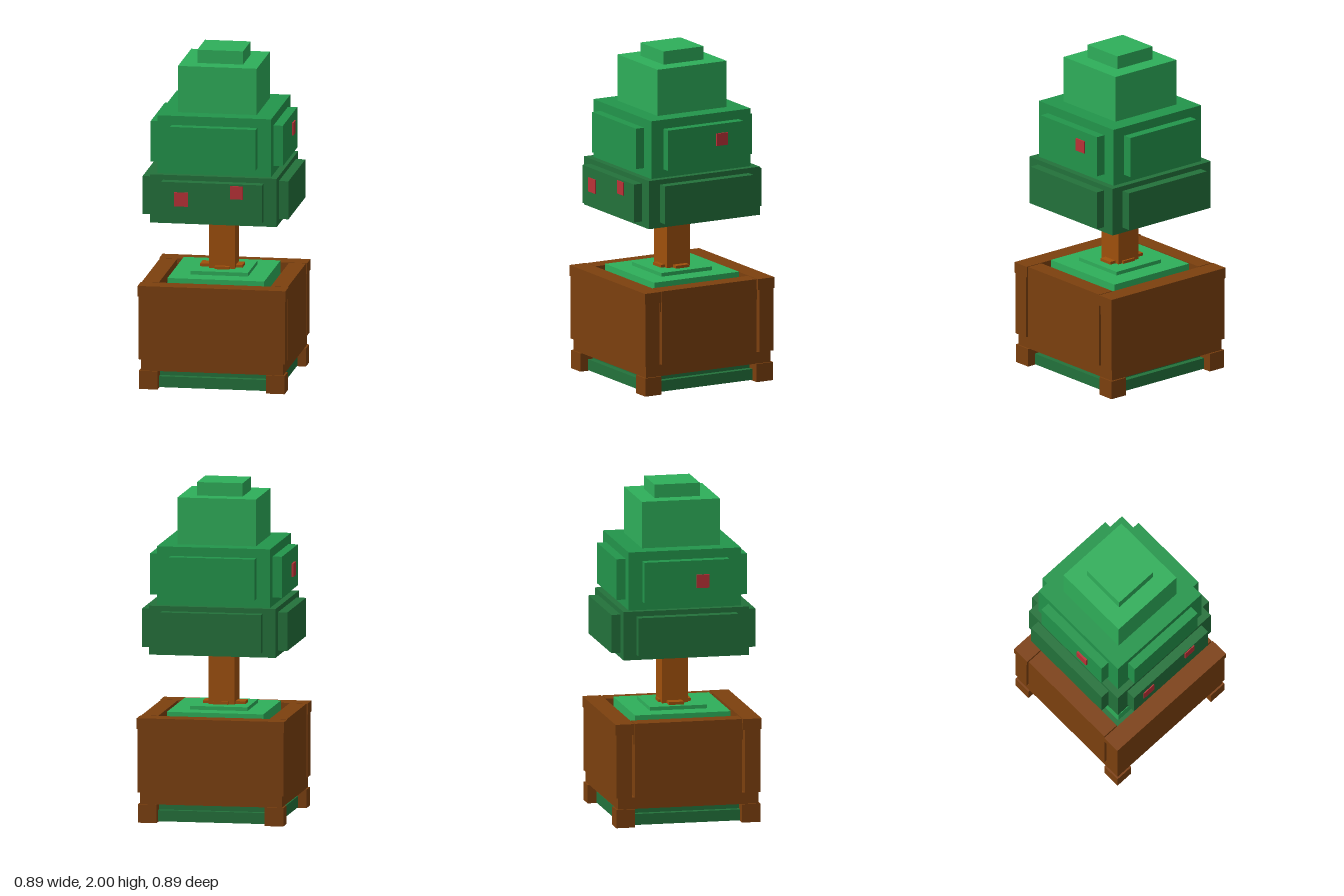
import * as THREE from 'three';

const mat = (name, color) => {
  const m = new THREE.MeshStandardMaterial({ color });
  m.name = name;
  return m;
};

export function createModel() {
  const lightGreen = mat('light green', 0x2eaf5a);
  const midGreen = mat('mid green', 0x22954b);
  const darkGreen = mat('dark green', 0x23723b);
  const brown = mat('pot brown', 0x7c400e);
  const bark = mat('bark brown', 0x9f500c);
  const red = mat('berry red', 0xbb3237);

  const model = new THREE.Group();
  model.name = 'pottedTree';

  // Box given by its lower and upper limits on each axis
  const box = (name, material, [x0, x1], [y0, y1], [z0, z1]) => {
    const mesh = new THREE.Mesh(new THREE.BoxGeometry(x1 - x0, y1 - y0, z1 - z0), material);
    mesh.position.set((x0 + x1) / 2, (y0 + y1) / 2, (z0 + z1) / 2);
    mesh.name = name;
    model.add(mesh);
  };
  const span = (h) => [-h, h];
  const side = (s, a, b) => (s > 0 ? [a, b] : [-b, -a]);
  const slab = (name, material, half, y) => box(name, material, span(half), y, span(half));

  // Base tray with a red plate underneath
  slab('tray', darkGreen, 0.385, [0.004, 0.07]);
  slab('trayCore', darkGreen, 0.35, [0.07, 0.115]);
  slab('basePlate', red, 0.19, [0, 0.006]);

  // Pot: feet, plinth, walls and rim bars
  for (const sx of [-1, 1])
    for (const sz of [-1, 1])
      box('foot', brown, side(sx, 0.325, 0.437), [0, 0.11], side(sz, 0.325, 0.437));
  slab('plinth', brown, 0.426, [0.11, 0.18]);
  for (const s of [-1, 1]) {
    box('endWall', brown, span(0.438), [0.18, 0.56], side(s, 0.342, 0.438));
    box('rimBar', brown, span(0.443), [0.56, 0.625], side(s, 0.33, 0.443));
    box('sideWall', brown, side(s, 0.335, 0.437), [0.18, 0.625], span(0.324));
    // Thin filler under each groove beside the side walls
    for (const z of [-1, 1])
      box('groove', brown, side(s, 0.335, 0.428), [0.5, 0.6], side(z, 0.322, 0.332));
  }

  // Filling and stepped grass mound
  slab('filling', darkGreen, 0.336, [0.18, 0.56]);
  slab('grass', lightGreen, 0.29, [0.56, 0.645]);
  slab('grassMound', lightGreen, 0.173, [0.645, 0.667]);

  // Trunk and roots
  slab('trunk', bark, 0.078, [0.66, 1.01]);
  box('rootAcross', bark, [-0.137, 0.118], [0.66, 0.684], [-0.05, 0.04]);
  box('rootAlong', bark, [-0.04, 0.05], [0.66, 0.684], [-0.09, 0.105]);

  // Foliage tiers with raised panels on all four sides
  const tier = (name, material, half, y, reach, panelHalf, panelY) => {
    slab(name, material, half, y);
    for (const s of [-1, 1]) {
      box(name + 'Panel', material, span(panelHalf), panelY, side(s, half, reach));
      box(name + 'Panel', material, side(s, half, reach), panelY, span(panelHalf));
    }
  };
  tier('lowerFoliage', darkGreen, 0.38, [0.998, 1.29], 0.437, 0.302, [1.03, 1.26]);
  tier('middleFoliage', midGreen, 0.34, [1.29, 1.64], 0.396, 0.257, [1.34, 1.585]);
  slab('upperFoliage', lightGreen, 0.236, [1.64, 1.92]);
  slab('treeTop', lightGreen, 0.137, [1.92, 2]);

  // Berries
  box('berry', red, [-0.225, -0.142], [1.115, 1.2], [0.435, 0.443]);
  box('berry', red, [0.112, 0.187], [1.17, 1.25], [0.435, 0.443]);
  box('berry', red, [0.396, 0.405], [1.455, 1.53], [-0.147, -0.072]);
  box('berry', red, [-0.408, -0.396], [1.42, 1.5], [0.057, 0.135]);

  return model;
}
